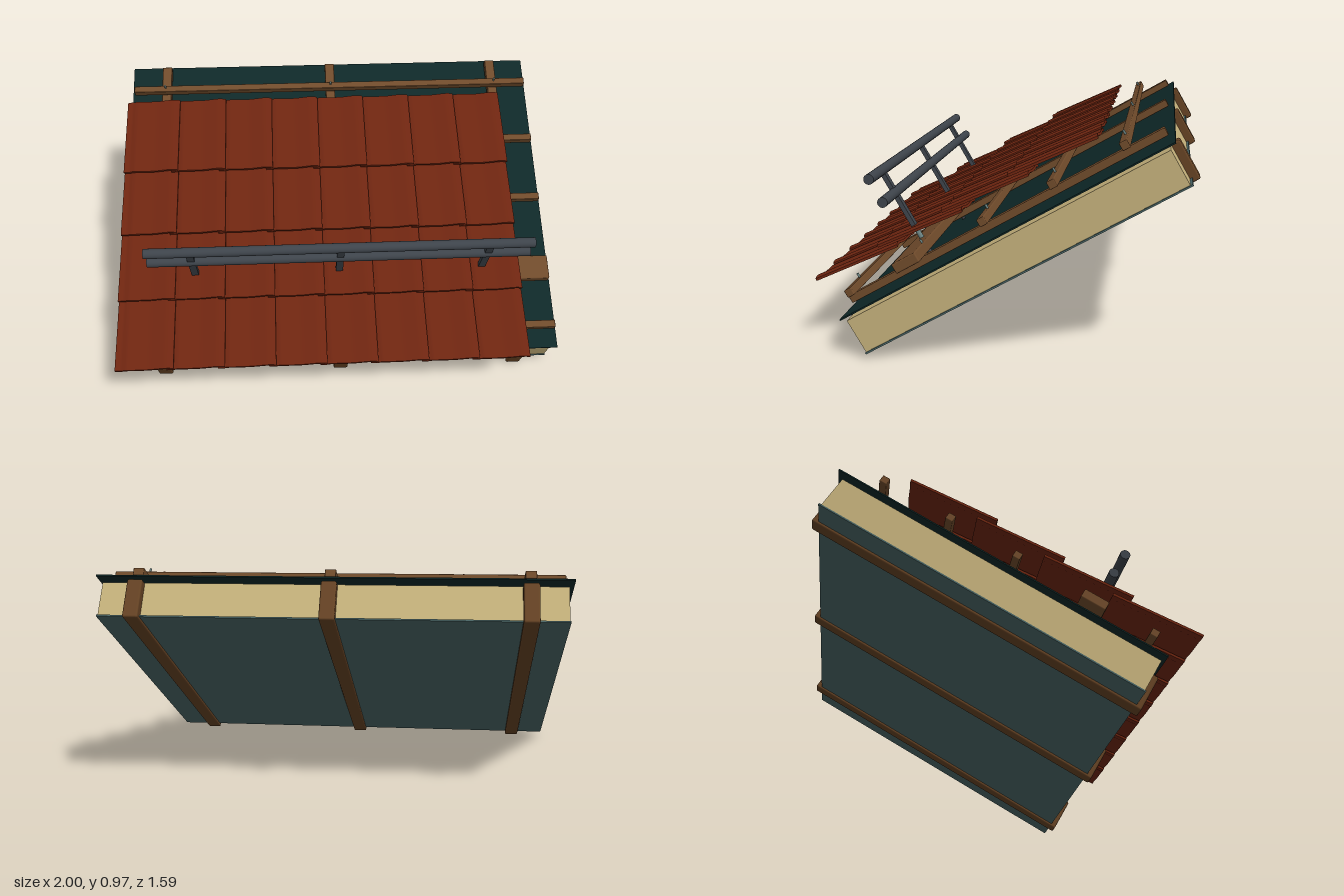
import * as THREE from 'three';
import { toCreasedNormals } from 'three/addons/utils/BufferGeometryUtils.js';
import { RoundedBoxGeometry } from 'three/addons/geometries/RoundedBoxGeometry.js';

function material(name, color) {
  const m = new THREE.MeshStandardMaterial({ color });
  m.name = name;
  return m;
}

export function createModel() {
  const clay = material('clay red', 0x6e2510);
  const wood = material('batten wood', 0x704b2b);
  const rafterWood = material('rafter wood', 0x664324);
  const wool = material('insulation beige', 0xc6b27c);
  const underlay = material('underlay dark green', 0x0e2828);
  const vapour = material('vapour barrier teal', 0x4a6666);
  const iron = material('dark grey metal', 0x3e444b);
  const steel = material('screw grey', 0x6c8482);

  const model = new THREE.Group();
  model.name = 'roofSection';
  // Everything is built flat, then pitched: local y is the roof normal, -z runs up the slope
  const roof = new THREE.Group();
  roof.name = 'pitchedRoof';
  roof.rotation.x = Math.PI / 6;
  model.add(roof);

  function add(name, geometry, mat, x = 0, y = 0, z = 0, parent = roof) {
    const mesh = new THREE.Mesh(geometry, mat);
    mesh.name = name;
    mesh.position.set(x, y, z);
    parent.add(mesh);
    return mesh;
  }
  // Layer box given by x width and y / z ranges
  function slab(name, mat, x, width, y0, y1, z0, z1, radius = 0) {
    const size = [width, y1 - y0, z1 - z0];
    const geo = radius ? new RoundedBoxGeometry(...size, 2, radius) : new THREE.BoxGeometry(...size);
    return add(name, geo, mat, x, (y0 + y1) / 2, (z0 + z1) / 2);
  }

  // Sheet layers and insulation
  slab('vapourBarrier', vapour, 0, 1.96, 0.294, 0.301, -1.05, 0.455);
  slab('insulation', wool, 0, 1.955, 0.302, 0.455, -1.04, 0.45);
  slab('underlay', underlay, 0, 2, 0.471, 0.477, -1.07, 0.465);

  // Rafters with counter battens above them
  for (const x of [-0.825, 0, 0.825]) {
    slab('rafter', rafterWood, x, 0.066, 0.281, 0.456, -1.078, 0.481, 0.008);
    slab('counterBatten', wood, x, 0.047, 0.489, 0.523, -1.048, 0.45, 0.004);
  }

  // Tile battens, with a wide board carrying the snow guard
  const pitch = 0.318;
  for (let i = 0; i < 5; i++) {
    const z = 0.375 - i * pitch;
    if (i === 1) slab('snowGuardBoard', wood, 0, 1.96, 0.529, 0.573, 0.045, 0.158, 0.006);
    else slab('tileBatten', wood, 0, 1.96, 0.536, 0.57, z - 0.017, z + 0.017, 0.004);
    for (const x of [-0.825, 0, 0.825]) {
      add('battenNail', new THREE.CylinderGeometry(0.005, 0.005, 0.03, 8), steel, x, 0.574, z - 0.005);
    }
  }

  // Interlocking tile: low lip on the left, shallow pan, raised roll on the right
  const step = 0.2245, tileLength = 0.396, thickness = 0.011;
  const curve = new THREE.SplineCurve([
    [0, -0.012], [0.03, -0.012], [0.045, -0.007], [0.09, -0.008], [0.145, -0.007],
    [0.185, -0.001], [0.215, 0.004], [0.24, 0.003], [0.256, -0.002],
  ].map(([x, y]) => new THREE.Vector2(x, y)));
  const under = curve.getPoints(24);
  const over = under.map((p) => new THREE.Vector2(p.x, p.y + thickness)).reverse();
  const tileGeo = toCreasedNormals(
    new THREE.ExtrudeGeometry(new THREE.Shape([...under, ...over]), { depth: tileLength, bevelEnabled: false })
      .translate(-0.256, 0, -tileLength / 2), 0.6);
  for (let row = 0; row < 4; row++) {
    const course = new THREE.Group();
    course.name = 'tileCourse';
    course.position.set(0, 0.626, 0.349 - row * pitch);
    course.rotation.x = -0.094;
    roof.add(course);
    for (let k = 0; k < 8; k++) add('roofTile', tileGeo, clay, -0.744 + k * step, 0, 0, course);
  }

  // Snow guard: two rails on three posts bolted through the board
  const guardZ = 0.104;
  for (const y of [0.799, 0.909]) {
    const rail = add('snowGuardRail', new THREE.CylinderGeometry(0.022, 0.022, 1.695, 20), iron, -0.002, y, guardZ);
    rail.rotation.z = Math.PI / 2;
  }
  for (const x of [-0.655, 0, 0.655]) {
    slab('snowGuardPost', iron, x, 0.032, 0.625, 0.909, guardZ - 0.01, guardZ + 0.01);
    add('hangerBolt', new THREE.CylinderGeometry(0.011, 0.011, 0.06, 12), steel, x, 0.6, guardZ);
    add('boltTip', new THREE.CylinderGeometry(0.011, 0.008, 0.065, 12), iron, x, 0.498, guardZ);
  }
  return model;
}
